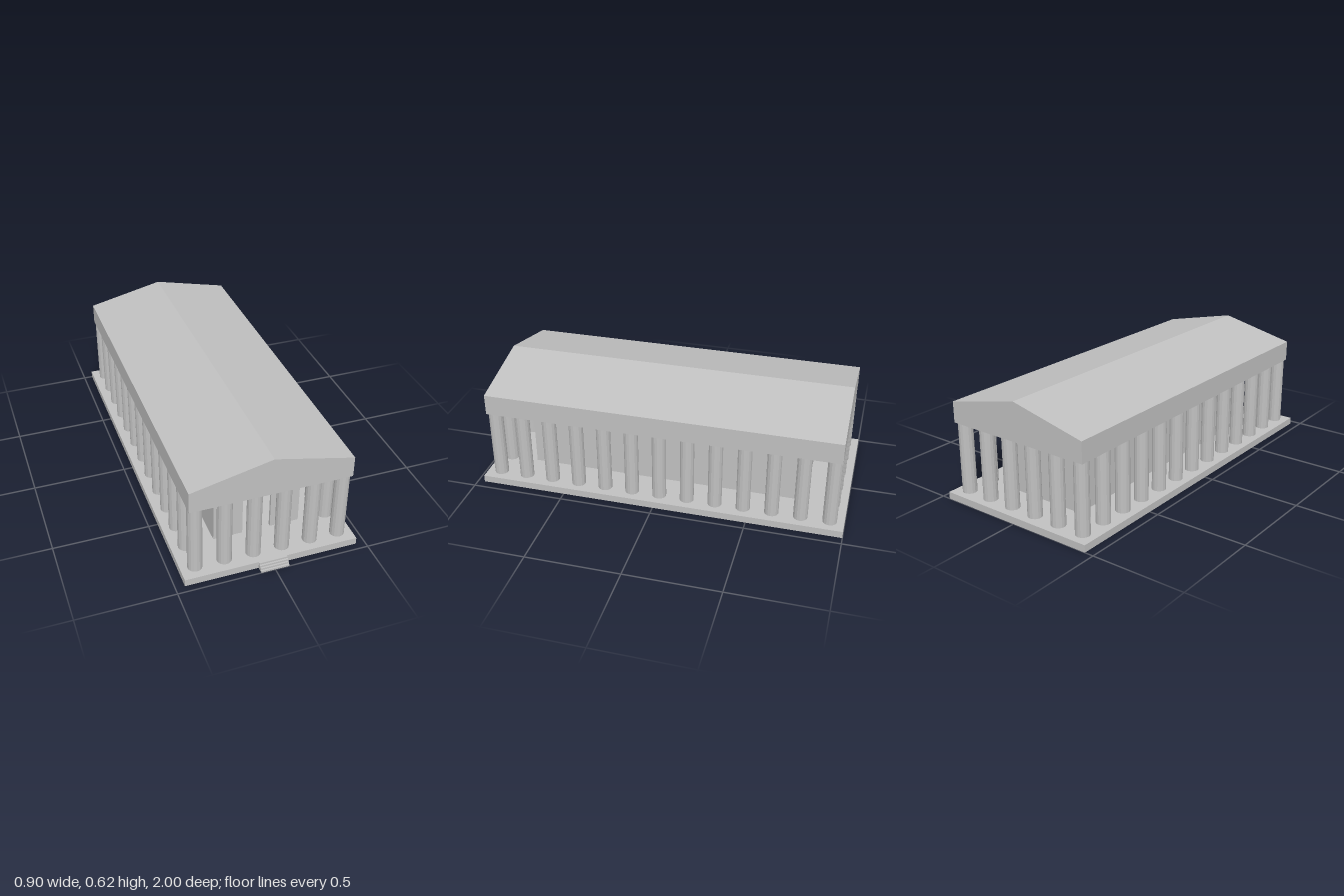
import * as THREE from 'three';

export function createModel() {
  const temple = new THREE.Group();
  temple.name = 'temple';
  const stone = new THREE.MeshStandardMaterial({ color: 0xc0c0c0, flatShading: true });
  stone.name = 'stone grey';

  const FLOOR = 0.038, EAVE = 0.417;
  const WALL_H = EAVE - FLOOR;

  const add = (name, geometry, x = 0, y = 0, z = 0, parent = temple) => {
    const mesh = new THREE.Mesh(geometry, stone);
    mesh.name = name;
    mesh.position.set(x, y, z);
    parent.add(mesh);
    return mesh;
  };
  // Box given by its min and max corners
  const block = (name, x0, x1, y0, y1, z0, z1, parent = temple) =>
    add(name, new THREE.BoxGeometry(x1 - x0, y1 - y0, z1 - z0),
      (x0 + x1) / 2, (y0 + y1) / 2, (z0 + z1) / 2, parent);
  // Outline extruded along z
  const prism = (name, points, z0, z1, parent = temple) => {
    const shape = new THREE.Shape(points.map(([x, y]) => new THREE.Vector2(x, y)));
    return add(name, new THREE.ExtrudeGeometry(shape, { depth: z1 - z0, bevelEnabled: false }), 0, 0, z0, parent);
  };

  // Platform
  block('platform', -0.452, 0.452, 0, FLOOR, -1, 0.963);

  // Entrance steps
  const steps = new THREE.Group();
  steps.name = 'entranceSteps';
  temple.add(steps);
  const STEPS = 4, treadDepth = 0.037 / STEPS;
  for (let i = 0; i < STEPS; i++) {
    block('step', -0.074, 0.074, FLOOR * i / STEPS, FLOOR * (i + 1) / STEPS,
      0.963, 1 - i * treadDepth, steps);
  }

  // Colonnade: 6 columns across, 13 along
  const colonnade = new THREE.Group();
  colonnade.name = 'colonnade';
  temple.add(colonnade);
  const PITCH = 0.151, NX = 6, NZ = 13, CENTER_Z = -0.0185;
  const columnGeometry = new THREE.CylinderGeometry(0.0375, 0.0375, WALL_H, 16);
  for (let i = 0; i < NX; i++) {
    for (let j = 0; j < NZ; j++) {
      if (i > 0 && i < NX - 1 && j > 0 && j < NZ - 1) continue;
      add('column', columnGeometry, (i - (NX - 1) / 2) * PITCH, FLOOR + WALL_H / 2,
        CENTER_Z + (j - (NZ - 1) / 2) * PITCH, colonnade);
    }
  }

  // Hollow inner chamber with a doorway in the front wall
  const chamber = new THREE.Group();
  chamber.name = 'innerChamber';
  temple.add(chamber);
  const W = 0.23, T = 0.015, FRONT = 0.737, BACK = -0.774, DOOR_W = 0.075, DOOR_TOP = 0.265;
  block('leftWall', W - T, W, FLOOR, EAVE, BACK + T, FRONT - T, chamber);
  block('rightWall', -W, -W + T, FLOOR, EAVE, BACK + T, FRONT - T, chamber);
  block('backWall', -W, W, FLOOR, EAVE, BACK, BACK + T, chamber);
  prism('frontWall', [
    [-W, FLOOR], [-DOOR_W, FLOOR], [-DOOR_W, DOOR_TOP], [DOOR_W, DOOR_TOP],
    [DOOR_W, FLOOR], [W, FLOOR], [W, EAVE], [-W, EAVE],
  ], FRONT - T, FRONT, chamber);

  // Entablature and gabled roof in one solid
  prism('gabledRoof', [
    [-0.415, EAVE], [0.415, EAVE], [0.415, 0.529], [0, 0.623], [-0.415, 0.529],
  ], -0.962, 0.925);

  return temple;
}
